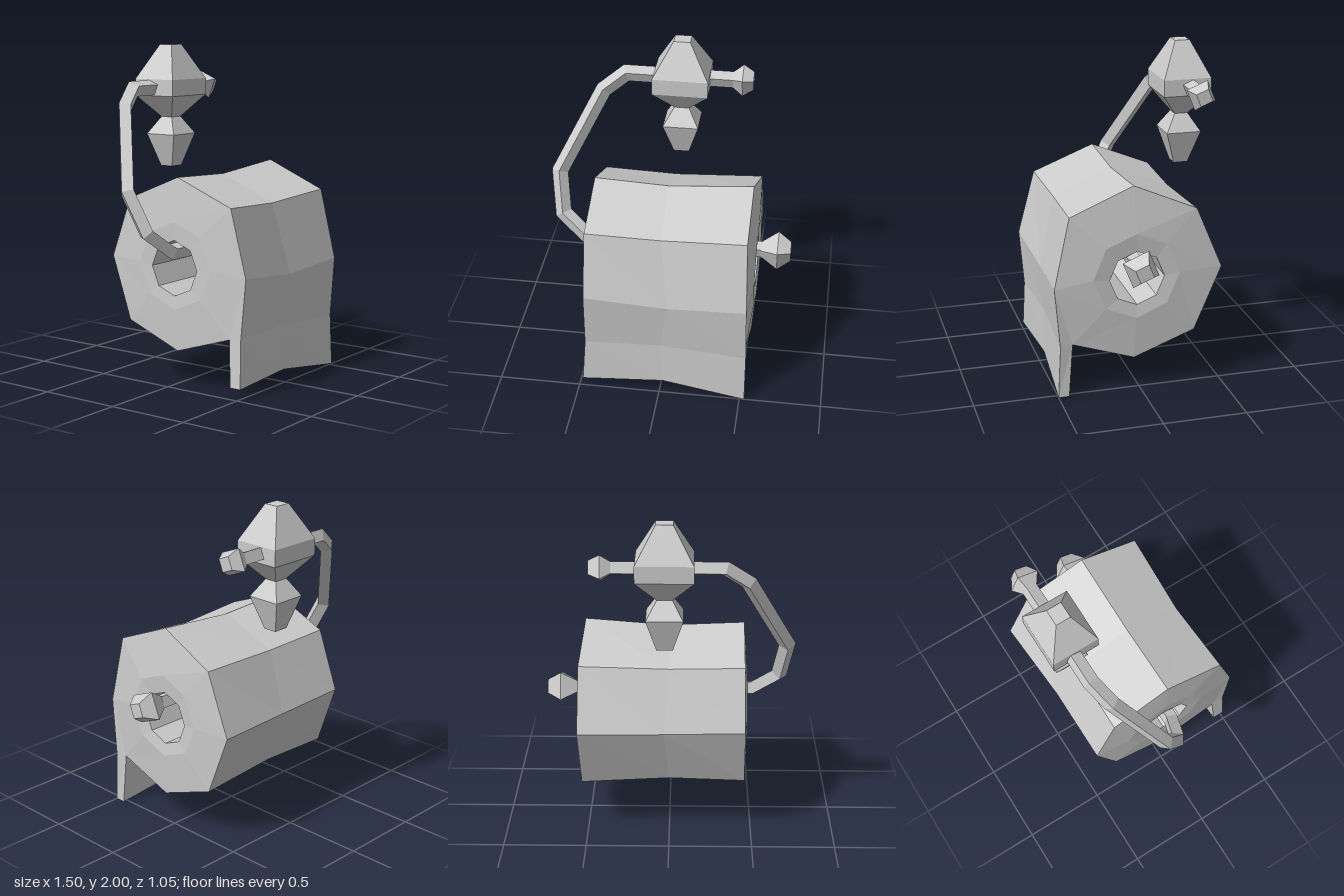
import * as THREE from 'three';

const V = (x, y, z) => new THREE.Vector3(x, y, z);
const material = new THREE.MeshStandardMaterial({ color: 0xcccccc, flatShading: true });

// Skin a list of rings; either join the last ring to the first or cap both ends.
function loft(rings, joined = false) {
  const pos = [];
  const tri = (a, b, c) => [a, b, c].forEach(p => pos.push(p.x, p.y, p.z));
  const n = rings[0].length;
  const spans = joined ? rings.length : rings.length - 1;
  for (let i = 0; i < spans; i++) {
    const r = rings[i], s = rings[(i + 1) % rings.length];
    for (let j = 0; j < n; j++) {
      const k = (j + 1) % n;
      tri(r[j], r[k], s[k]);
      tri(r[j], s[k], s[j]);
    }
  }
  if (!joined) {
    const first = rings[0], last = rings[rings.length - 1];
    for (let j = 0; j < n - 2; j++) {
      tri(first[n - 1], first[j + 1], first[j]);
      tri(last[n - 1], last[j], last[j + 1]);
    }
  }
  const g = new THREE.BufferGeometry();
  g.setAttribute('position', new THREE.Float32BufferAttribute(pos, 3));
  g.computeVertexNormals();
  return g;
}

const points = list => list.map(p => V(...p));

// Regular ring in the yz plane, running from the top towards the front.
function ringX(x, cy, cz, r, sides, tilt = 0) {
  return Array.from({ length: sides }, (_, i) => {
    const a = tilt + i * 2 * Math.PI / sides;
    return V(x, cy + r * Math.cos(a), cz + r * Math.sin(a));
  });
}

// Square bar along a path, with mitred bends.
function bar(path, firstRing) {
  const rings = [firstRing];
  for (let i = 1; i < path.length; i++) {
    const dir = path[i].clone().sub(path[i - 1]).normalize();
    const plane = dir.clone();
    if (i < path.length - 1) plane.add(path[i + 1].clone().sub(path[i]).normalize());
    rings.push(rings[i - 1].map(c => {
      const t = path[i].clone().sub(c).dot(plane) / dir.dot(plane);
      return c.clone().addScaledVector(dir, t);
    }));
  }
  return loft(rings);
}

export function createModel() {
  const group = new THREE.Group();
  const add = (name, geometry) => {
    const mesh = new THREE.Mesh(geometry, material);
    mesh.name = name;
    group.add(mesh);
  };

  // Paper roll: three uneven octagons, bulging end faces and a hole through the core
  const left = points([
    [-0.45, 1.25, 0.04], [-0.45, 1.10, 0.42], [-0.45, 0.705, 0.525], [-0.455, 0.34, 0.415],
    [-0.455, 0.22, 0.04], [-0.455, 0.36, -0.32], [-0.45, 0.74, -0.455], [-0.445, 1.10, -0.325]]);
  const middle = points([
    [0, 1.23, 0.04], [0, 1.08, 0.40], [0.05, 0.655, 0.495], [0, 0.34, 0.39],
    [0, 0.23, 0.04], [0, 0.37, -0.31], [0.03, 0.73, -0.455], [0, 1.09, -0.32]]);
  const right = points([
    [0.51, 1.27, 0.04], [0.51, 1.11, 0.42], [0.525, 0.685, 0.515], [0.52, 0.33, 0.41],
    [0.53, 0.21, 0.04], [0.53, 0.35, -0.33], [0.54, 0.74, -0.49], [0.535, 1.11, -0.335]]);
  add('paperRoll', loft([left, middle, right,
    ringX(0.55, 0.73, 0.03, 0.26, 8), ringX(0.54, 0.715, 0.025, 0.165, 8),
    ringX(-0.465, 0.715, 0.025, 0.165, 8), ringX(-0.47, 0.73, 0.03, 0.26, 8)], true));

  // Loose sheet hanging from the front of the roll
  add('hangingSheet', loft([
    [left[2], ...points([[-0.455, 0.35, 0.495], [-0.475, 0.065, 0.505], [-0.475, 0.065, 0.435]]), left[3]],
    [middle[2], ...points([[0, 0.345, 0.465], [0.02, 0.075, 0.475], [0.02, 0.075, 0.405]]), middle[3]],
    [right[2], ...points([[0.53, 0.32, 0.485], [0.53, 0.005, 0.5], [0.53, 0.005, 0.435]]), right[3]]]));

  // Bent holder arm: all bends lie in one sloping plane
  const zOnPlane = y => 0.04 - (y - 0.82) * 0.473;
  const path = [[0.33, 1.74], [-0.32, 1.74], [-0.455, 1.64], [-0.70, 1.175],
    [-0.665, 0.94], [-0.51, 0.82], [0.57, 0.82]].map(([x, y]) => V(x, y, zOnPlane(y)));
  const tilt = -0.4;
  add('holderArm', bar(path, ringX(0.33, 1.74, path[0].z, 0.049, 4, tilt).reverse()));

  // Faceted end knobs
  const knob = (name, cy, profile) => add(name,
    loft(profile.map(([x, r]) => ringX(x, cy, zOnPlane(cy), r, 4, tilt))));
  knob('upperKnob', 1.74, [[0.33, 0.049], [0.39, 0.095], [0.455, 0.055]]);
  knob('lowerKnob', 0.82, [[0.57, 0.049], [0.67, 0.118], [0.75, 0.06]]);

  // Square wall mount with its pendant, from the bottom up: [y, half width, half depth]
  const stack = (name, profile) => add(name, loft(profile.map(([y, w, d]) =>
    [[-1, 1], [1, 1], [1, -1], [-1, -1]].map(([sx, sz]) => V(0.025 + sx * w, y, -0.38 + sz * d)))));
  stack('pendant', [[1.25, 0.047, 0.043], [1.45, 0.108, 0.105], [1.555, 0.045, 0.04]]);
  stack('mount', [[1.555, 0.045, 0.04], [1.69, 0.168, 0.145], [1.79, 0.168, 0.145], [2, 0.05, 0.045]]);

  return group;
}
